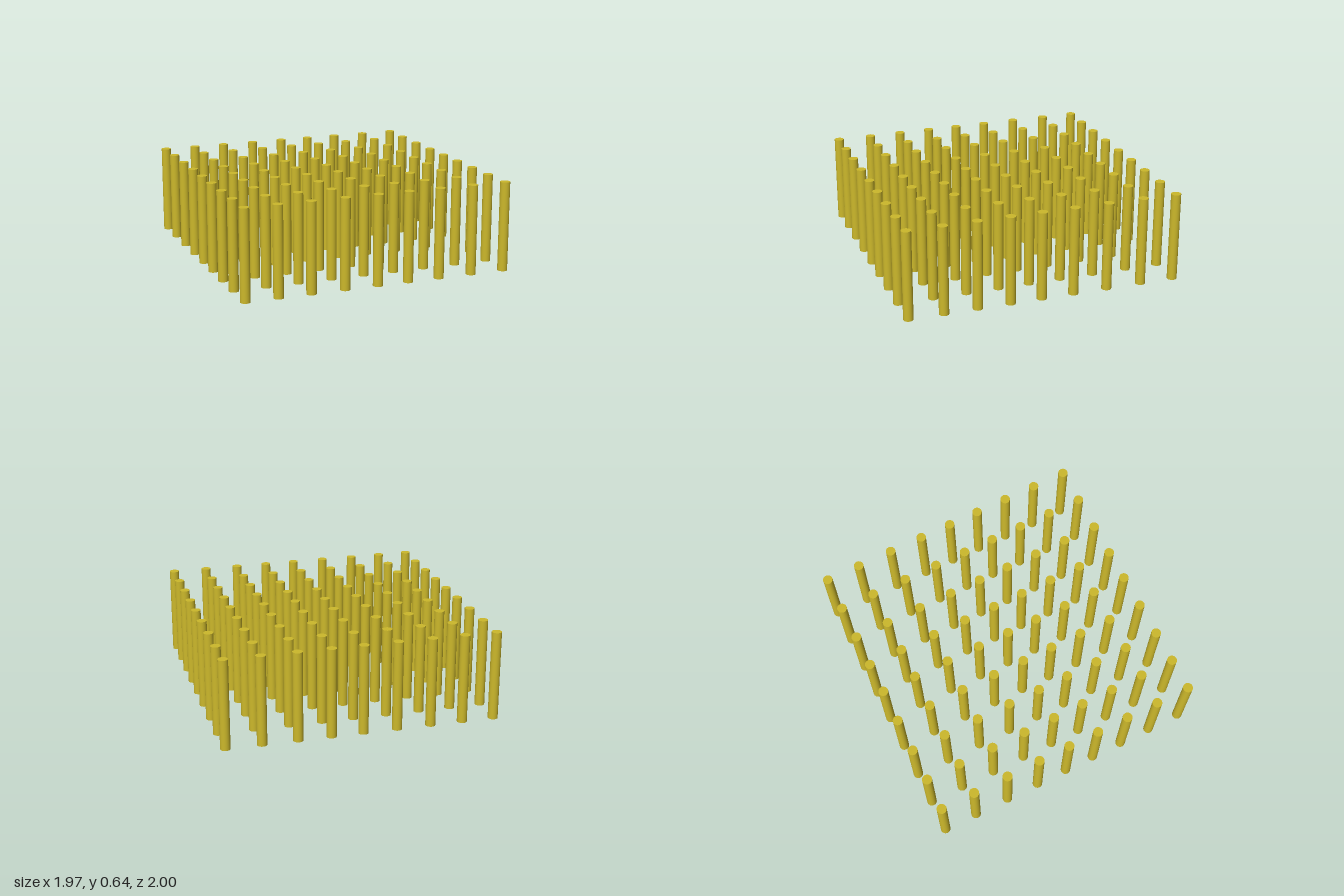
import * as THREE from 'three';

// Slightly uneven spacing of the grid lines
const COLUMNS = [-0.95, -0.72, -0.488, -0.246, -0.006, 0.219, 0.452, 0.7, 0.95];
const ROWS = [-0.965, -0.718, -0.461, -0.213, 0.02, 0.246, 0.48, 0.718, 0.965];
const RADIUS = 0.035;
const HEIGHT = 0.64;

export function createModel() {
  const model = new THREE.Group();
  model.name = 'postGrid';
  const material = new THREE.MeshStandardMaterial({ color: 0xccb82b });

  // One round post, standing on the ground, shared by all
  const post = new THREE.CylinderGeometry(RADIUS, RADIUS, HEIGHT, 32);
  post.translate(0, HEIGHT / 2, 0);

  // Rows of posts from back to front
  ROWS.forEach((z, r) => {
    const row = new THREE.Group();
    row.name = `postRow${r + 1}`;
    row.position.z = z;
    COLUMNS.forEach((x, c) => {
      const mesh = new THREE.Mesh(post, material);
      mesh.name = `post${r + 1}_${c + 1}`;
      mesh.position.x = x;
      row.add(mesh);
    });
    model.add(row);
  });
  return model;
}
